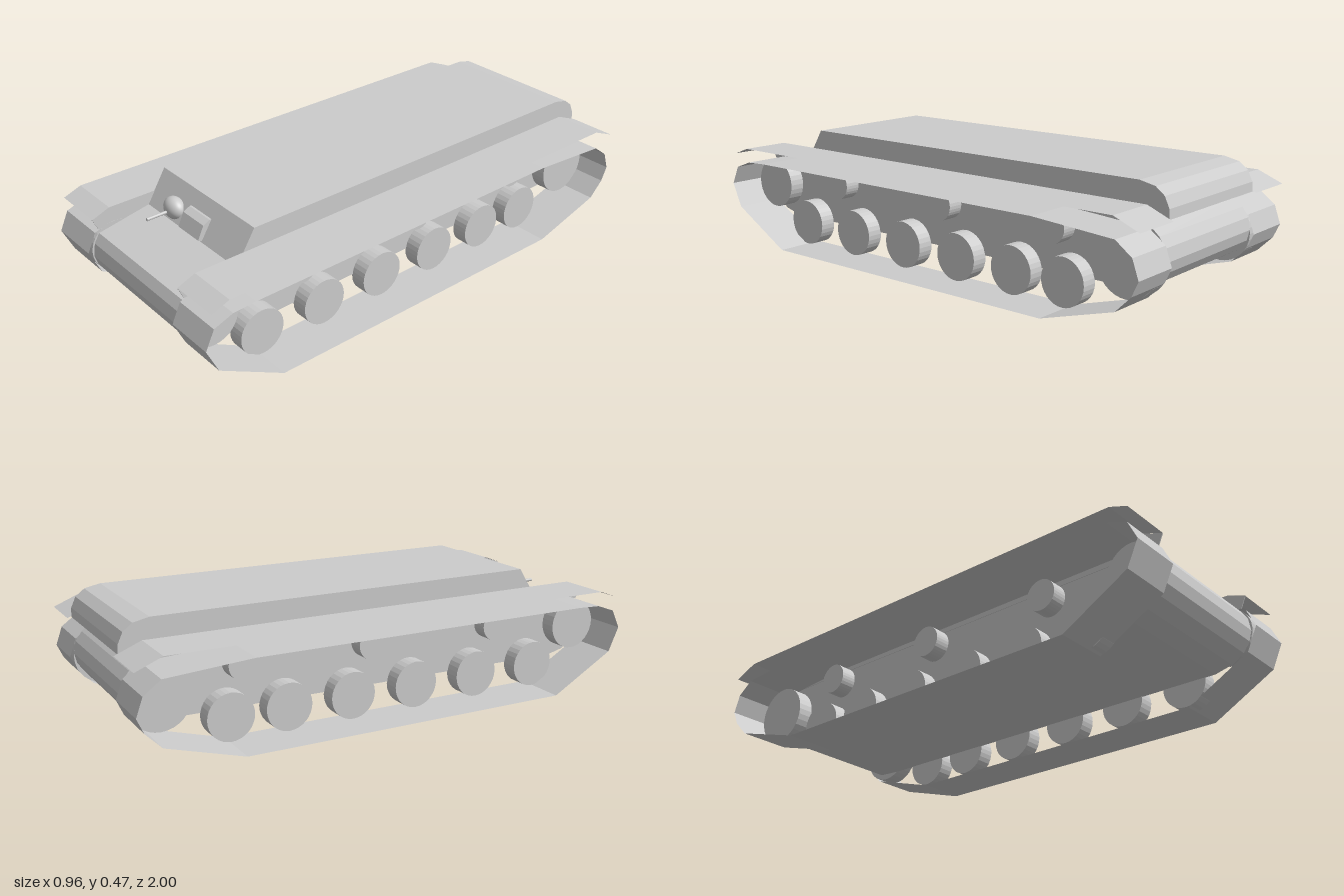
import * as THREE from 'three';

const solid = new THREE.MeshStandardMaterial({ color: 0xcccccc, flatShading: true });
const sheet = new THREE.MeshStandardMaterial({ color: 0xcccccc, flatShading: true, side: THREE.DoubleSide });
const smooth = new THREE.MeshStandardMaterial({ color: 0xcccccc });

// Side profile given as [z, y] points, extruded across from x0 to x1
function profile(points, x0, x1) {
  const shape = new THREE.Shape(points.map(([z, y]) => new THREE.Vector2(z, y)));
  const geo = new THREE.ExtrudeGeometry(shape, { depth: x1 - x0, bevelEnabled: false });
  return geo.rotateY(-Math.PI / 2).translate(x1, 0, 0);
}

// Thin sheet following [z, y] points, from x0 to x1
function strip(points, x0, x1) {
  const pos = [];
  for (let i = 0; i < points.length - 1; i++) {
    const [za, ya] = points[i], [zb, yb] = points[i + 1];
    pos.push(x0, ya, za, x1, ya, za, x1, yb, zb);
    pos.push(x0, ya, za, x1, yb, zb, x0, yb, zb);
  }
  const geo = new THREE.BufferGeometry();
  geo.setAttribute('position', new THREE.Float32BufferAttribute(pos, 3));
  geo.computeVertexNormals();
  return geo;
}

export function createModel() {
  const model = new THREE.Group();
  const add = (name, geo, mat = solid, parent = model) => {
    const mesh = new THREE.Mesh(geo, mat);
    mesh.name = name;
    parent.add(mesh);
    return mesh;
  };
  const L = 0.285, R = -0.272;

  // Hull with raised upper body, rounded nose, and overhanging rounded tail
  add('hull', profile([
    [0.66, 0.475], [0.74, 0.35], [0.95, 0.31], [0.972, 0.275], [0.98, 0.225], [0.968, 0.185],
    [0.94, 0.148], [0.89, 0.117], [0.82, 0.1],
    [-0.82, 0.11], [-0.9, 0.115], [-0.95, 0.145], [-0.975, 0.18], [-0.985, 0.22], [-0.975, 0.265],
    [-0.95, 0.3], [-0.915, 0.33], [-0.985, 0.36], [-0.983, 0.395], [-0.965, 0.435], [-0.93, 0.462], [-0.87, 0.475],
  ], R, L));

  // Running gear: [z, y, radius]
  const wheels = [
    ['idlerWheel', 0.885, 0.238, 0.1],
    ['driveWheel', -0.87, 0.205, 0.116],
    ...[0.69, 0.415, 0.14, -0.13, -0.39, -0.615].map(z => ['roadWheel', z, 0.097, 0.09]),
    ...[0.505, -0.045, -0.56].map(z => ['returnRoller', z, 0.28, 0.06]),
  ];
  const trackPath = [
    [0.7, 0.004], [0.957, 0.148], [1, 0.242], [0.965, 0.315], [0.89, 0.342], [0.8, 0.346], [-0.58, 0.346],
    [-0.91, 0.323], [-0.975, 0.275], [-1, 0.205], [-0.975, 0.15], [-0.915, 0.09], [-0.62, 0.004], [0.7, 0.004],
  ];
  const fenderPath = [[0.97, 0.372], [0.9, 0.398], [-0.9, 0.398], [-1, 0.357]];
  const skirtPath = [[0.97, 0.37], [0.9, 0.397], [-0.9, 0.397], [-0.975, 0.364], [-0.92, 0.33], [0.95, 0.325]];

  for (const side of [1, -1]) {
    const group = new THREE.Group();
    group.name = side > 0 ? 'leftRunningGear' : 'rightRunningGear';
    model.add(group);
    const inner = side > 0 ? L : R;
    const x0 = Math.min(inner, side * 0.479), x1 = Math.max(inner, side * 0.479);
    add('track', strip(trackPath, x0, x1), sheet, group);
    add('fender', strip(fenderPath, x0, x1), sheet, group);
    // Plate joining the fender to the hull
    add('fenderPlate', profile(skirtPath, inner - 0.002, inner + 0.002), solid, group);
    for (const [name, z, y, r] of wheels) {
      const geo = new THREE.CylinderGeometry(r, r, 0.065, 32).rotateZ(Math.PI / 2);
      add(name, geo, solid, group).position.set(inner + side * 0.03, y, z);
    }
  }

  // Ball-mounted gun on the sloped front
  const ball = add('gunBall', new THREE.SphereGeometry(0.05, 32, 24), smooth);
  ball.scale.set(1, 0.85, 0.72);
  ball.position.set(-0.127, 0.39, 0.716);
  add('gunBarrel', new THREE.CylinderGeometry(0.006, 0.006, 0.12, 16).rotateX(Math.PI / 2), smooth)
    .position.set(-0.127, 0.385, 0.772);

  // Driver's hatch
  add('driverHatch', profile([[0.68, 0.425], [0.7, 0.425], [0.727, 0.412], [0.752, 0.361], [0.733, 0.353]], -0.05, 0.075));

  return model;
}
